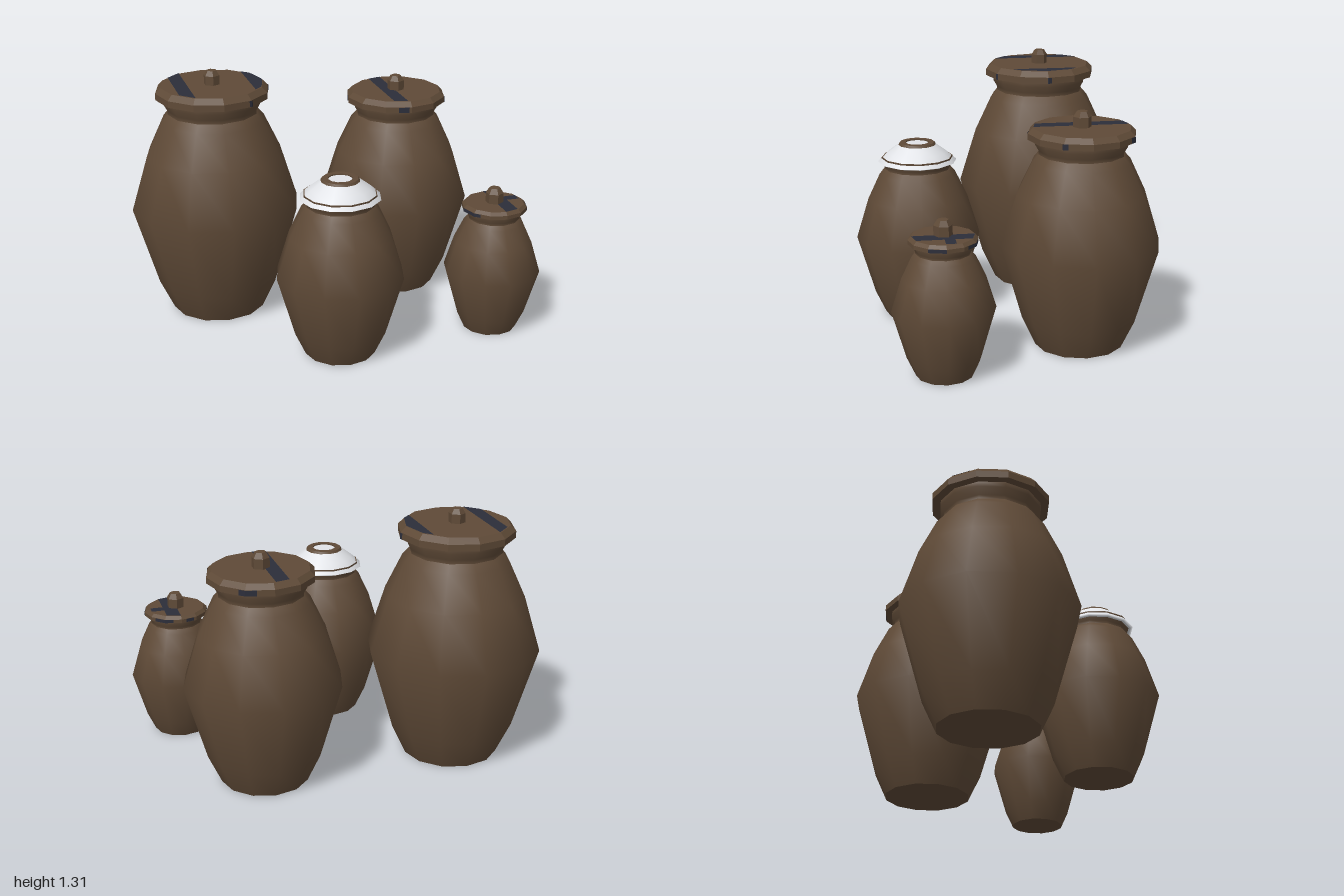
import * as THREE from 'three';
import { toCreasedNormals } from 'three/addons/utils/BufferGeometryUtils.js';

const clay = new THREE.MeshStandardMaterial({ color: 0x5f4a37 });
clay.name = 'brown clay';
const paint = new THREE.MeshStandardMaterial({ color: 0x2c2e3a, side: THREE.DoubleSide });
paint.name = 'dark slate paint';
const cloth = new THREE.MeshStandardMaterial({ color: 0xe6e8ec });
cloth.name = 'white cloth';

const SIDES = 12;
const LID_R = 0.295, LID_TOP_R = 0.268, LID_TOP = 1.235;

function add(parent, name, geometry, material) {
  const mesh = new THREE.Mesh(geometry, material);
  mesh.name = name;
  parent.add(mesh);
  return mesh;
}

function lathe(points, sides = SIDES, crease = 0) {
  const g = new THREE.LatheGeometry(points.map(([r, y]) => new THREE.Vector2(r, y)), sides);
  return crease ? toCreasedNormals(g, crease) : g;
}

// Point on the twelve-sided outline; u counts sides from +x towards +z
function rimPoint(u, r) {
  const k = Math.floor(u), t = u - k;
  const at = (i) => new THREE.Vector2(Math.cos(i * Math.PI / 6), Math.sin(i * Math.PI / 6)).multiplyScalar(r);
  return at(k).lerp(at(k + 1), t);
}

// Flat stripe across the lid top between x0 and x1, cut to the lid outline
function stripeGeometry(x0, x1, r) {
  const xs = [x0, x1];
  for (let k = 0; k <= 6; k++) {
    const x = r * Math.cos(k * Math.PI / 6);
    if (x > x0 && x < x1) xs.push(x);
  }
  xs.sort((a, b) => a - b);
  const half = (x) => {
    for (let k = 0; k < 6; k++) {
      const a = rimPoint(k, r), b = rimPoint(k + 1, r);
      if (x <= a.x && x >= b.x) return a.y + (b.y - a.y) * (a.x - x) / (a.x - b.x);
    }
    return 0;
  };
  const lower = xs.map((x) => new THREE.Vector2(x, -half(x)));
  const upper = xs.map((x) => new THREE.Vector2(x, half(x))).reverse();
  return new THREE.ShapeGeometry(new THREE.Shape([...lower, ...upper])).rotateX(-Math.PI / 2);
}

// Painted patch wrapped round the lid rim from u0 to u1
function rimPatchGeometry(u0, u1) {
  const us = [u0];
  for (let k = Math.floor(u0) + 1; k < u1; k++) us.push(k);
  us.push(u1);
  const pos = [], index = [];
  us.forEach((u, i) => {
    const p = rimPoint(u, LID_R + 0.003);
    pos.push(p.x, 1.175, p.y, p.x, 1.206, p.y);
    if (i) index.push(2 * i - 2, 2 * i - 1, 2 * i, 2 * i, 2 * i - 1, 2 * i + 1);
  });
  const g = new THREE.BufferGeometry();
  g.setAttribute('position', new THREE.Float32BufferAttribute(pos, 3));
  g.setIndex(index);
  const flat = g.toNonIndexed();
  flat.computeVertexNormals();
  return flat;
}

// Jar body with shoulder, neck and lip
function addBody(parent) {
  add(parent, 'jarBody', lathe([
    [0.246, 0], [0.32, 0.16], [0.443, 0.585], [0.355, 0.87], [0.27, 1.05], [0.235, 1.09],
  ]), clay);
  add(parent, 'jarNeck', lathe([[0.235, 1.09], [0.235, 1.11], [0.255, 1.145], [0.252, 1.175]]), clay);
  add(parent, 'jarBase', new THREE.CircleGeometry(0.246, SIDES).rotateX(Math.PI / 2), clay);
  add(parent, 'jarMouth', new THREE.CircleGeometry(0.252, SIDES).rotateX(-Math.PI / 2), clay).position.y = 1.17;
}

// Bevelled lid with painted stripes and rim patches
function addLid(parent, stripes, patches) {
  const lid = new THREE.Group();
  lid.name = 'lid';
  parent.add(lid);
  add(lid, 'lidDisc', lathe([
    [0, 1.173], [LID_R, 1.173], [LID_R, 1.207], [LID_TOP_R, LID_TOP], [0, LID_TOP],
  ], SIDES, 0.3), clay);
  for (const [x0, x1] of stripes) {
    add(lid, 'lidStripe', stripeGeometry(x0, x1, LID_TOP_R - 0.002), paint).position.y = LID_TOP + 0.003;
  }
  for (const [u0, u1] of patches) add(lid, 'rimPatch', rimPatchGeometry(u0, u1), paint);
  return lid;
}

// Six-sided knob, nearly the same size on every lid
function addKnob(parent, y, size) {
  const knob = add(parent, 'lidKnob', lathe([
    [0.045, 0], [0.045, 0.05], [0.028, 0.077], [0, 0.08],
  ], 6, 0.3), clay);
  knob.position.y = y;
  knob.scale.setScalar(size);
}

// Cloth cover tied over the open jar, with a clay ring on top
function addCover(parent) {
  const cover = new THREE.Group();
  cover.name = 'clothCover';
  parent.add(cover);
  add(cover, 'clothSkirt', lathe([[0.19, 0.824], [0.203, 0.83], [0.15, 0.877], [0.098, 0.916]]), cloth);
  add(cover, 'clothUnderside', new THREE.CircleGeometry(0.19, SIDES).rotateX(Math.PI / 2), cloth).position.y = 0.824;
  add(cover, 'coverRing', lathe([[0.098, 0.914], [0.09, 0.927], [0.06, 0.927], [0.06, 0.912]], SIDES, 0.6), clay);
  add(cover, 'clothTop', new THREE.CircleGeometry(0.062, SIDES).rotateX(-Math.PI / 2), cloth).position.y = 0.921;
}

const JARS = [
  { name: 'largeJar', x: -0.557, z: -0.302, s: 1, knob: 0.94,
    stripes: [[-0.2, -0.13], [0.19, 0.264]], patches: [[-0.12, 0.03], [1.95, 2.08]] },
  { name: 'mediumJar', x: 0.455, z: -0.335, s: 0.9, knob: 1,
    stripes: [[-0.092, -0.014]], patches: [[3.1, 3.5], [0.85, 1.05], [-2.4, -1.75], [6, 6.4]] },
  { name: 'coveredJar', x: -0.087, z: 0.418, s: 0.728 },
  { name: 'smallJar', x: 0.748, z: 0.372, s: 0.56, knob: 1,
    stripes: [[0, 0.125]], patches: [[4.6, 6], [0, 1], [-2.5, -1.3], [-3.8, -3.3]] },
];

export function createModel() {
  const model = new THREE.Group();
  model.name = 'jarSet';
  for (const { name, x, z, s, knob, stripes, patches } of JARS) {
    const jar = new THREE.Group();
    jar.name = name;
    jar.position.set(x, 0, z);
    model.add(jar);
    const scaled = new THREE.Group();
    scaled.name = name + 'Vessel';
    scaled.scale.setScalar(s);
    jar.add(scaled);
    addBody(scaled);
    if (!knob) {
      addCover(jar);
      continue;
    }
    const lid = addLid(scaled, stripes, patches);
    addKnob(jar, LID_TOP * s, knob);
    // Short side branch of the stripe on the small lid
    if (name === 'smallJar') {
      const branch = new THREE.PlaneGeometry(0.115, 0.088).rotateX(-Math.PI / 2);
      add(lid, 'lidStripeBranch', branch, paint).position.set(0.1825, LID_TOP + 0.003, -0.044);
    }
  }
  return model;
}
